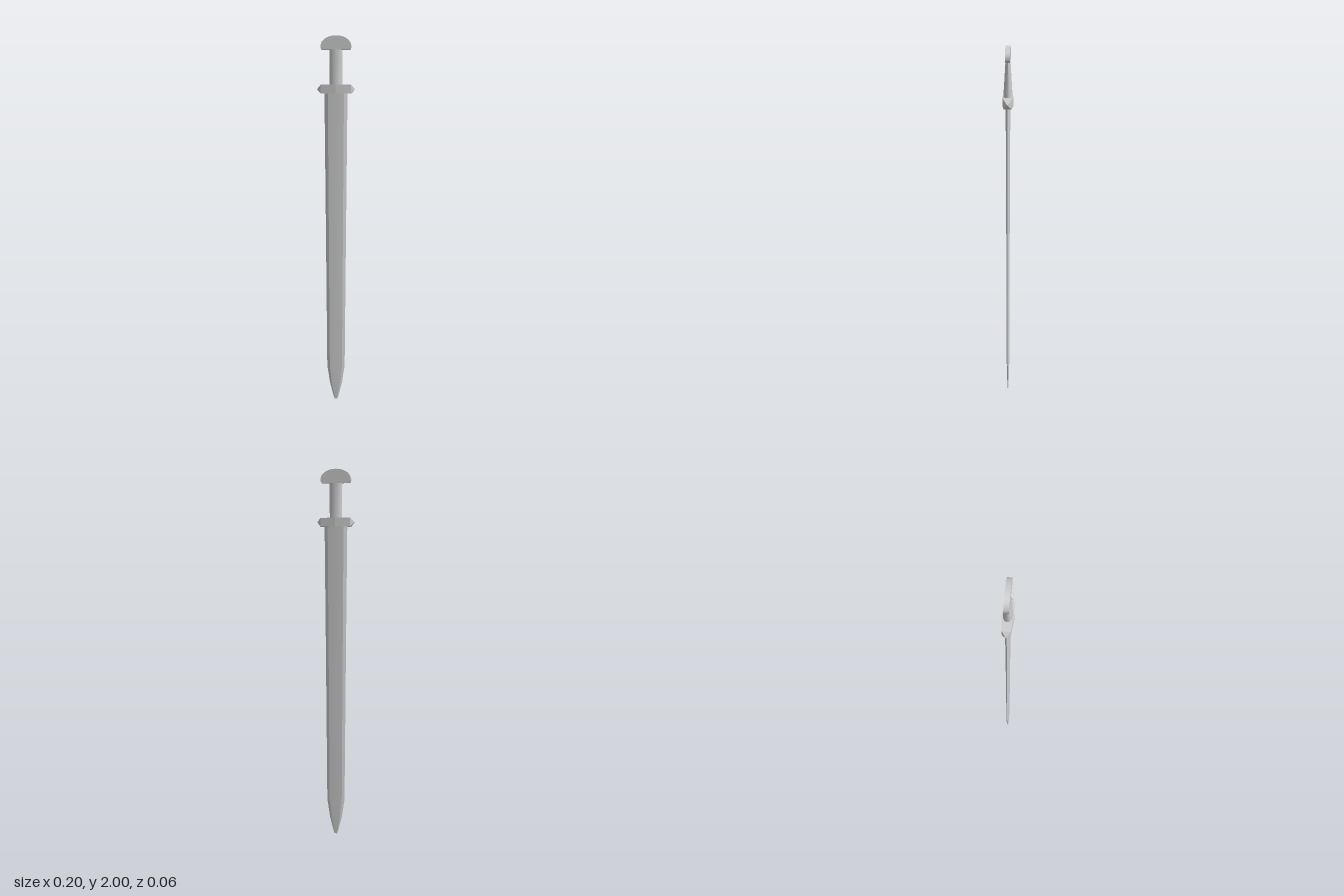
import * as THREE from 'three';
import { toCreasedNormals } from 'three/addons/utils/BufferGeometryUtils.js';

const metal = new THREE.MeshStandardMaterial({ color: 0xcccccc });

// Skin a stack of equal-length rings of [x, y, z] points with capped ends.
// Upright stacks wind from +x towards +z so that faces point outward.
function loft(rings, crease) {
  const n = rings[0].length;
  const index = [];
  for (let r = 0; r < rings.length - 1; r++) {
    for (let i = 0; i < n; i++) {
      const a = r * n + i, b = r * n + (i + 1) % n;
      index.push(a, a + n, b, b, a + n, b + n);
    }
  }
  const top = (rings.length - 1) * n;
  for (let i = 1; i < n - 1; i++) {
    index.push(0, i, i + 1, top, top + i + 1, top + i);
  }
  const geometry = new THREE.BufferGeometry();
  geometry.setAttribute('position', new THREE.Float32BufferAttribute(rings.flat(2), 3));
  geometry.setIndex(index);
  return toCreasedNormals(geometry, crease);
}

function part(name, geometry) {
  const mesh = new THREE.Mesh(geometry, metal);
  mesh.name = name;
  return mesh;
}

// Blade section: sharp edges, bevels and a low central ridge
function bladeRing([y, w, t]) {
  const b = w * 0.7, s = t * 0.8;
  return [
    [w, 0], [b, s], [0, t], [-b, s], [-w, 0], [-b, -s], [0, -t], [b, -s],
  ].map(([x, z]) => [x, y, z]);
}

// Oval grip section
function gripRing([y, w, t]) {
  return Array.from({ length: 20 }, (_, i) => {
    const a = i / 20 * Math.PI * 2;
    return [w * Math.cos(a), y, t * Math.sin(a)];
  });
}

// Guard: shallow bar, thickest in the middle, closed by a pyramid at each end
function guardGeometry() {
  const y0 = 1.704, y1 = 1.75;
  const section = (x, z) => [[x, y0, -z], [x, y0, z], [x, y1, z], [x, y1, -z]];
  const tip = (x) => Array.from({ length: 4 }, () => [x, (y0 + y1) / 2, 0]);
  return loft([
    tip(-0.1), section(-0.079, 0.02), section(0, 0.028), section(0.079, 0.02), tip(0.1),
  ], 0.05);
}

// Pommel: flat plate with a domed top and a straight underside
function pommelGeometry() {
  const s = new THREE.Shape();
  s.moveTo(-0.073, 1.928);
  s.lineTo(0.073, 1.928);
  s.quadraticCurveTo(0.08, 1.932, 0.08, 1.948);
  s.bezierCurveTo(0.077, 1.982, 0.04, 2.0, 0, 2.0);
  s.bezierCurveTo(-0.04, 2.0, -0.077, 1.982, -0.08, 1.948);
  s.quadraticCurveTo(-0.08, 1.932, -0.073, 1.928);
  const geometry = new THREE.ExtrudeGeometry(s, { depth: 0.024, bevelEnabled: false, curveSegments: 10 });
  geometry.translate(0, 0, -0.012);
  return toCreasedNormals(geometry, 0.6);
}

export function createModel() {
  const sword = new THREE.Group();
  sword.name = 'sword';

  // Each ring is height, half width, half thickness
  const blade = [
    [0, 0.007, 0.001], [0.02, 0.014, 0.003], [0.1, 0.034, 0.006], [0.2, 0.049, 0.008],
    [1.0, 0.055, 0.0095], [1.72, 0.061, 0.012],
  ].map(bladeRing);
  const grip = [[1.74, 0.033, 0.024], [1.935, 0.033, 0.012]].map(gripRing);

  sword.add(
    part('blade', loft(blade, 0.15)),
    part('guard', guardGeometry()),
    part('grip', loft(grip, 0.6)),
    part('pommel', pommelGeometry()),
  );
  return sword;
}
